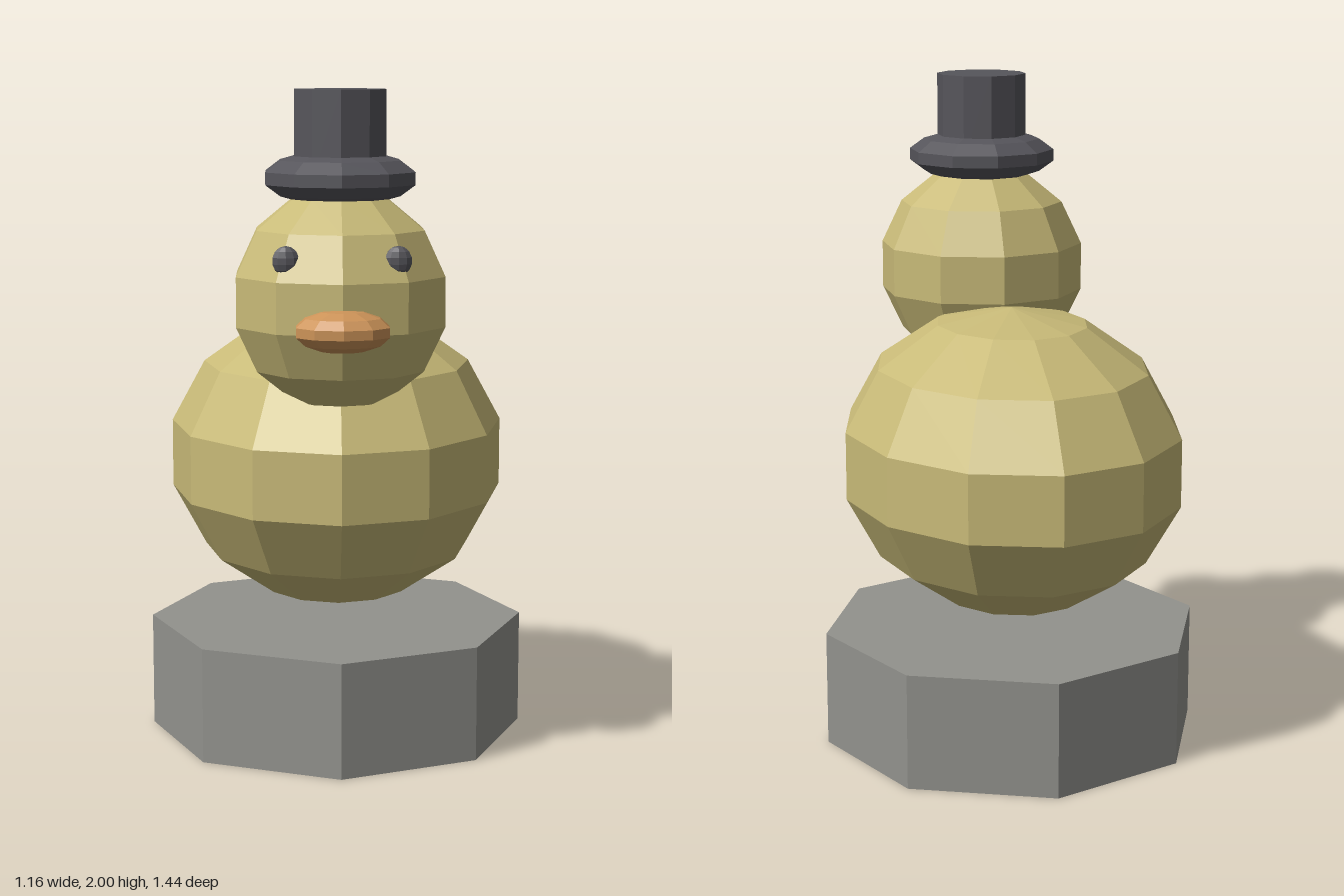
import * as THREE from 'three';

const material = (color) => new THREE.MeshStandardMaterial({ color, flatShading: true });

export function createModel() {
  const model = new THREE.Group();
  const yellow = material(0xc8ba78);
  const stone = material(0x92928d);
  const dark = material(0x56555b);
  const orange = material(0xcc9358);

  const add = (name, geometry, mat, x, y, z) => {
    const mesh = new THREE.Mesh(geometry, mat);
    mesh.name = name;
    mesh.position.set(x, y, z);
    model.add(mesh);
    return mesh;
  };

  // Faceted ellipsoid with seven bands and one corner line facing the front
  const ellipsoid = (rx, ry, rz, sides) =>
    new THREE.SphereGeometry(1, sides, 7).rotateY(Math.PI / 2).scale(rx, ry, rz);

  // Octagonal plinth, with the body hovering just above it
  add('pedestal', new THREE.CylinderGeometry(0.58, 0.58, 0.35, 8), stone, 0, 0.175, -0.095);
  add('body', ellipsoid(0.523, 0.463, 0.641, 12), yellow, 0, 0.873, -0.095);

  // Head and face
  add('head', ellipsoid(0.323, 0.326, 0.323, 10), yellow, 0, 1.398, 0.315);
  add('bill', ellipsoid(0.14, 0.061, 0.105, 10), orange, 0, 1.34, 0.617);
  for (const side of [1, -1]) {
    const name = side > 0 ? 'leftEye' : 'rightEye';
    add(name, ellipsoid(0.04, 0.042, 0.021, 10), dark, side * 0.157, 1.53, 0.549);
  }

  // Top hat
  add('hatBrim', ellipsoid(0.231, 0.081, 0.231, 10), dark, 0, 1.748, 0.31);
  add('hatCrown', new THREE.CylinderGeometry(0.138, 0.138, 0.25, 10), dark, 0, 1.875, 0.31);

  return model;
}
